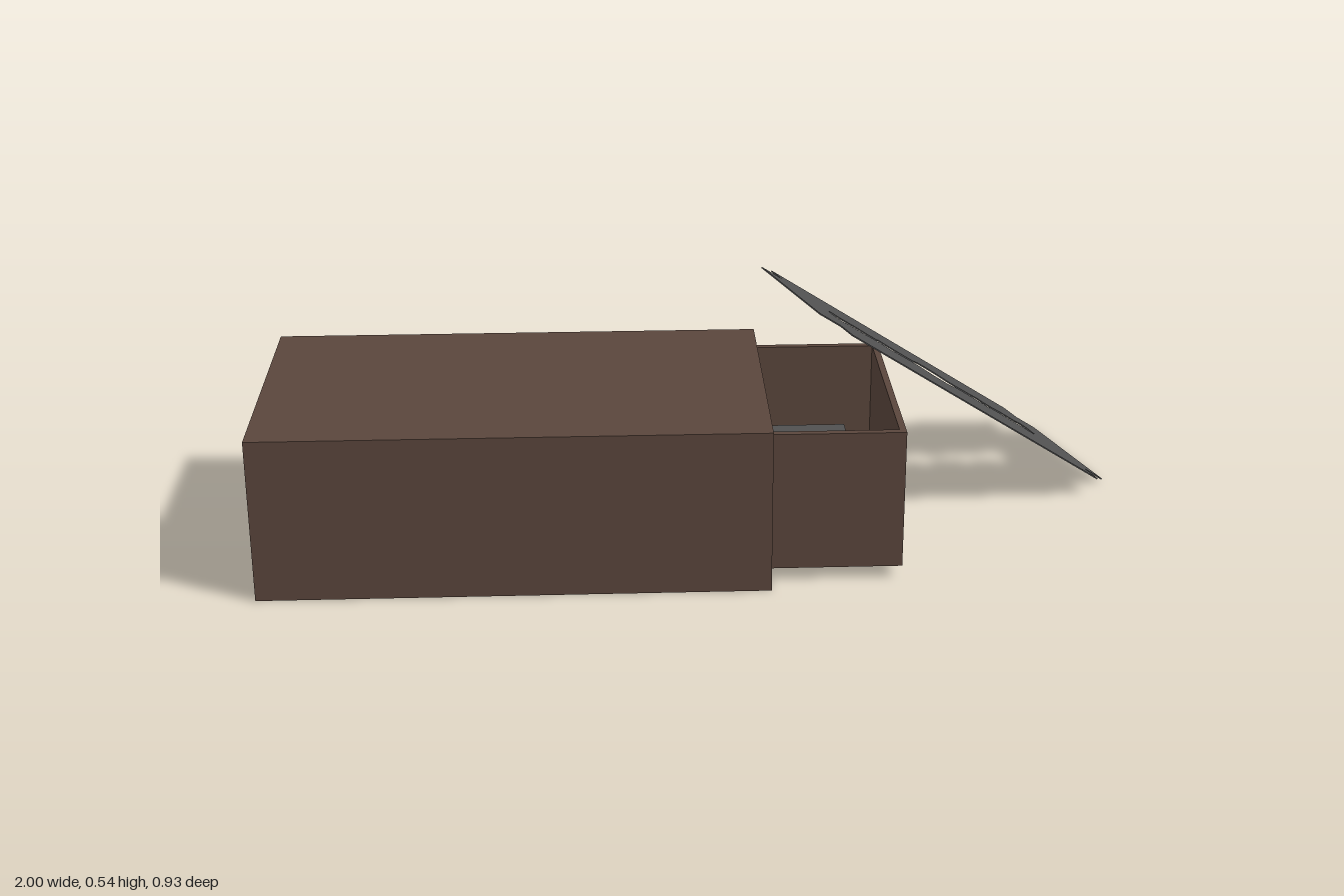
import * as THREE from 'three';

const card = new THREE.MeshStandardMaterial({ color: 0x5a463c, side: THREE.DoubleSide });
const steel = new THREE.MeshStandardMaterial({ color: 0x505050, side: THREE.DoubleSide });

function add(parent, name, geometry, material) {
  const mesh = new THREE.Mesh(geometry, material);
  mesh.name = name;
  parent.add(mesh);
  return mesh;
}

function rect(path, x0, x1, y0, y1) {
  path.moveTo(x0, y0);
  path.lineTo(x1, y0);
  path.lineTo(x1, y1);
  path.lineTo(x0, y1);
  path.closePath();
  return path;
}

// box given by its limits on each axis
function block(x0, x1, y0, y1, z0, z1) {
  return new THREE.BoxGeometry(x1 - x0, y1 - y0, z1 - z0)
    .translate((x0 + x1) / 2, (y0 + y1) / 2, (z0 + z1) / 2);
}

// one quadrant of points mirrored into a closed loop
function mirrorLoop(quarter) {
  const p = quarter.map(([x, y]) => new THREE.Vector2(x, y));
  const flip = (list, sx, sy) => list.map((v) => new THREE.Vector2(v.x * sx, v.y * sy));
  const back = [...p].reverse();
  return [...p, ...flip(back, -1, 1), ...flip(p, -1, -1), ...flip(back, 1, -1)];
}

// notched blade with a wavy central slot, lying flat with its base on y = 0
function bladeGeometry(thickness) {
  const shape = new THREE.Shape(mirrorLoop([[0.468, 0.175], [0.404, 0.175], [0.404, 0.24]]));
  shape.holes.push(new THREE.Path(mirrorLoop([
    [0.335, 0.022], [0.322, 0.037], [0.296, 0.022], [0.25, 0.028], [0.21, 0.017], [0.18, 0.017],
    [0.168, 0.036], [0.14, 0.024], [0.085, 0.018], [0.06, 0.022], [0.03, 0.046], [0.012, 0.05],
  ])));
  return new THREE.ExtrudeGeometry(shape, { depth: thickness, bevelEnabled: false }).rotateX(-Math.PI / 2);
}

export function createModel() {
  const model = new THREE.Group();
  model.name = 'bladeBox';

  // outer sleeve: a rectangular tube closed at its far end
  const sleeve = new THREE.Group();
  sleeve.name = 'sleeve';
  const frame = rect(new THREE.Shape(), -0.465, 0.182, 0, 0.38);
  frame.holes.push(rect(new THREE.Path(), -0.425, 0.141, 0.025, 0.357));
  add(sleeve, 'sleeveTube',
    new THREE.ExtrudeGeometry(frame, { depth: 1.1, bevelEnabled: false })
      .rotateY(Math.PI / 2).translate(-0.96, 0, 0), card);
  add(sleeve, 'sleeveEnd', block(-1, -0.96, 0, 0.38, -0.182, 0.465), card);
  model.add(sleeve);

  // sliding tray, open at the top
  const tray = new THREE.Group();
  tray.name = 'tray';
  const rim = rect(new THREE.Shape(), -0.68, 0.437, -0.415, 0.138);
  rim.holes.push(rect(new THREE.Path(), -0.66, 0.422, -0.398, 0.121));
  add(tray, 'trayWalls',
    new THREE.ExtrudeGeometry(rim, { depth: 0.325, bevelEnabled: false })
      .rotateX(-Math.PI / 2).translate(0, 0.03, 0), card);
  add(tray, 'trayFloor', block(-0.66, 0.422, 0.03, 0.05, -0.121, 0.398), card);
  model.add(tray);

  // stack of blades in the tray
  add(model, 'bladeStack', bladeGeometry(0.11), steel).position.set(-0.047, 0.05, 0.14);

  // loose blade leaning on the tray
  const loose = add(model, 'looseBlade', bladeGeometry(0.003), steel);
  loose.rotation.set(0, 0.316, -0.605, 'YXZ');
  loose.position.set(0.577, 0.27, -0.135);

  return model;
}
